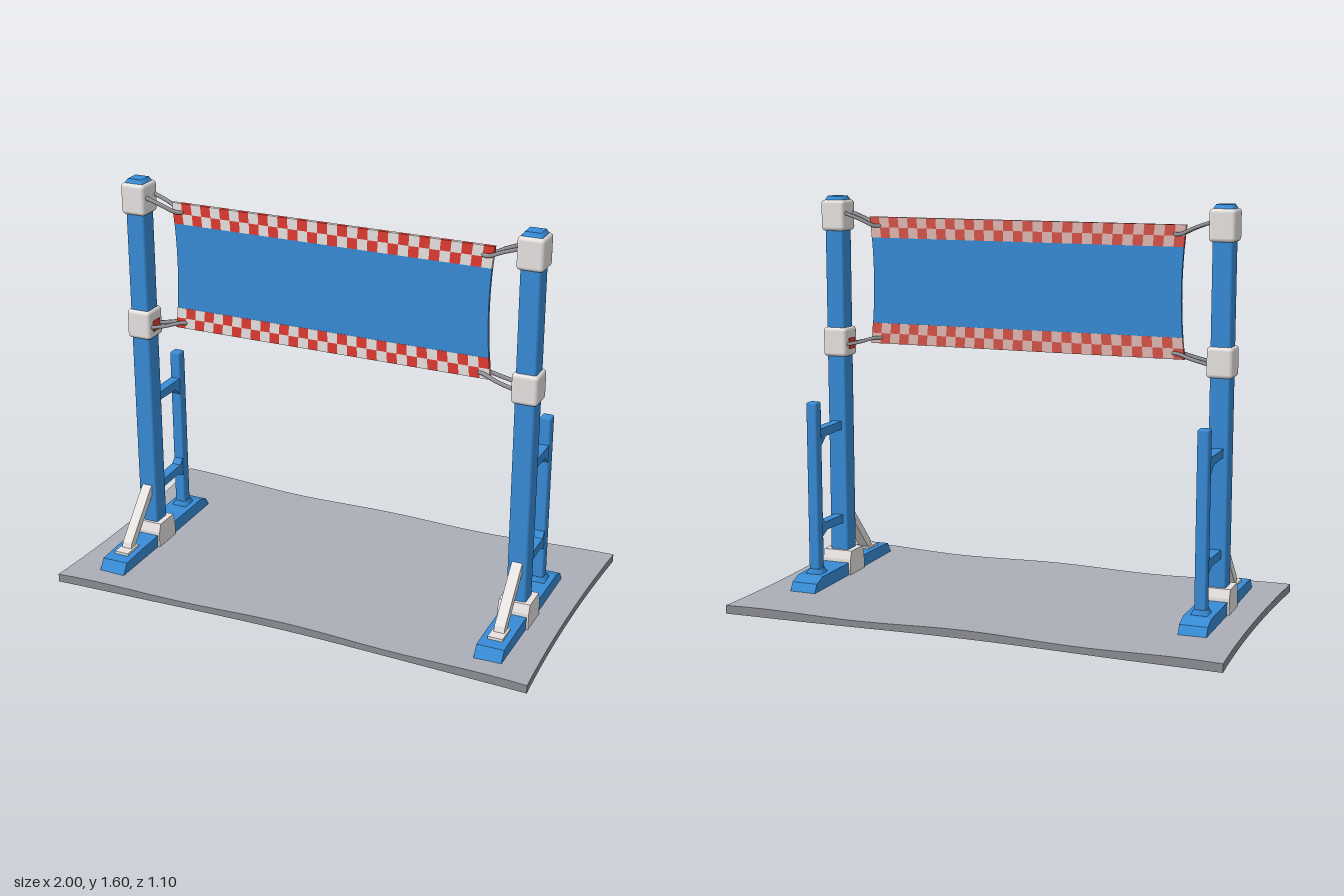
import * as THREE from 'three';
import { mergeGeometries, toCreasedNormals } from 'three/addons/utils/BufferGeometryUtils.js';
import { RoundedBoxGeometry } from 'three/addons/geometries/RoundedBoxGeometry.js';

const mat = (name, color) => {
  const m = new THREE.MeshStandardMaterial({ color });
  m.name = name;
  return m;
};

export function createModel() {
  const blue = mat('blue', 0x378bd6);
  const white = mat('off white', 0xe6e3e1);
  const red = mat('red', 0xe03a30);
  const fadedRed = mat('faded red', 0xd65248);
  const pink = mat('pale pink', 0xe0b9b3);
  const grey = mat('base grey', 0xabaeb7);
  const edgeGrey = mat('base edge grey', 0x8b8d93);
  const cord = mat('cord grey', 0x98959a);
  const root = new THREE.Group();
  root.name = 'bannerGate';

  const add = (parent, name, geo, material, x = 0, y = 0, z = 0) => {
    const m = new THREE.Mesh(geo, material);
    m.name = name;
    m.position.set(x, y, z);
    parent.add(m);
    return m;
  };
  const block = (w, h, d, r = 0.01) => new RoundedBoxGeometry(w, h, d, 2, r);
  // Side profile given as [z, y], extruded across x
  const sideProfile = (pts, width) => {
    const shape = new THREE.Shape(pts.map(([z, y]) => new THREE.Vector2(-z, y)));
    const g = new THREE.ExtrudeGeometry(shape, { depth: width, bevelEnabled: false });
    return g.translate(0, 0, -width / 2).rotateY(Math.PI / 2);
  };

  // Base mat, slightly waisted and uneven, with darker edges
  let base = new THREE.BoxGeometry(2, 0.03, 1.1, 24, 1, 12);
  const bp = base.attributes.position;
  for (let i = 0; i < bp.count; i++) {
    const x = bp.getX(i), y = bp.getY(i), z = bp.getZ(i);
    const v = z / 0.55;
    bp.setXYZ(i,
      x * (1 - 0.018 * (1 - v * v)),
      y + (y > 0 ? 0.005 * Math.cos(x * 7) * v * v : 0.002 * Math.cos(x * 5)),
      z * (1 - 0.055 * (1 - x * x)));
  }
  base = toCreasedNormals(base, 0.6);
  add(root, 'baseMat', base, [edgeGrey, edgeGrey, grey, grey, edgeGrey, edgeGrey], 0, 0.02, 0);

  // Posts with their feet, collars, braces and rear ladders
  const pz = 0.103;
  for (const side of [-1, 1]) {
    const g = new THREE.Group();
    g.name = side > 0 ? 'leftStand' : 'rightStand';
    g.position.x = side * 0.81;
    root.add(g);

    add(g, 'foot', sideProfile(
      [[0.45, 0.035], [0.42, 0.08], [0.3, 0.085], [-0.2, 0.088], [-0.25, 0.07], [-0.27, 0.035]], 0.11), blue);
    add(g, 'post', block(0.08, 1.55, 0.08, 0.01), blue, 0, 0.825, pz);
    add(g, 'postCap', new THREE.CylinderGeometry(0.042, 0.06, 0.022, 4).rotateY(Math.PI / 4), blue, 0, 1.597, pz);
    add(g, 'topCollar', block(0.104, 0.125, 0.108, 0.015), white, 0, 1.53, pz);
    add(g, 'middleCollar', block(0.104, 0.12, 0.106, 0.015), white, 0, 1.012, pz);
    add(g, 'collarPatch', new THREE.BoxGeometry(0.006, 0.045, 0.05), red, -side * 0.052, 1.005, pz);
    add(g, 'bottomCollar', sideProfile(
      [[0.17, 0.035], [0.168, 0.1], [0.155, 0.135], [0.05, 0.135], [0.038, 0.1], [0.036, 0.035]], 0.126), white);

    // Sloping front brace
    add(g, 'brace', sideProfile([[0.33, 0.085], [0.3, 0.085], [0.135, 0.265], [0.135, 0.305], [0.155, 0.292], [0.32, 0.115]], 0.042), white);
    add(g, 'braceFoot', new THREE.BoxGeometry(0.06, 0.014, 0.09), white, 0, 0.086, 0.325);

    // Rear upright and rungs, flared where they join
    add(g, 'rearUpright', block(0.046, 0.73, 0.047, 0.008), blue, 0, 0.43, -0.143);
    add(g, 'rearUprightFoot', new THREE.CylinderGeometry(0.034, 0.055, 0.035, 4).rotateY(Math.PI / 4), blue, 0, 0.09, -0.143);
    add(g, 'upperRung', sideProfile(
      [[0.08, 0.645], [0.03, 0.648], [-0.08, 0.645], [-0.122, 0.61], [-0.14, 0.61], [-0.14, 0.682], [0.08, 0.682]], 0.04), blue);
    add(g, 'lowerRung', sideProfile(
      [[0.08, 0.25], [-0.08, 0.255], [-0.122, 0.235], [-0.14, 0.235], [-0.14, 0.315], [-0.122, 0.315], [-0.1, 0.29], [0.08, 0.285]], 0.04), blue);
  }

  // Banner, pulled in along the free ends
  const halfW = 0.662, yLow = 1.012, yHigh = 1.527, rows = 0.084;
  const pinch = (geo) => {
    const p = geo.attributes.position;
    for (let i = 0; i < p.count; i++) {
      const v = (p.getY(i) - (yLow + yHigh) / 2) / ((yHigh - yLow) / 2);
      p.setX(i, p.getX(i) * (1 - 0.024 * (1 - v * v)));
    }
    geo.computeVertexNormals();
    return geo;
  };
  const banner = new THREE.Group();
  banner.name = 'banner';
  root.add(banner);
  const panelH = yHigh - yLow - 2 * rows;
  add(banner, 'bannerPanel', pinch(
    new THREE.BoxGeometry(halfW * 2, panelH, 0.014, 1, 10, 1).translate(0, (yLow + yHigh) / 2, 0.1)), blue);

  // Checked borders: crisp on the front, faded on the back
  const cols = 32, cw = halfW * 2 / cols, ch = rows / 2;
  const faces = [['Front', 0.104, red, white], ['Back', 0.096, fadedRed, pink]];
  for (const [edge, y0] of [['upper', yHigh - rows], ['lower', yLow]]) {
    for (const [face, z, dark, light] of faces) {
      const cells = [[], []];
      for (let r = 0; r < 2; r++) for (let c = 0; c < cols; c++) {
        cells[(r + c) % 2].push(new THREE.BoxGeometry(cw, ch, 0.008)
          .translate(-halfW + (c + 0.5) * cw, y0 + (r + 0.5) * ch, z));
      }
      add(banner, edge + face + 'DarkChecks', pinch(mergeGeometries(cells[0])), dark);
      add(banner, edge + face + 'LightChecks', pinch(mergeGeometries(cells[1])), light);
    }
  }

  // Paired cords from each collar to a banner corner, with an eyelet ring
  for (const side of [-1, 1]) {
    for (const [yPost, yBanner] of [[1.545, 1.492], [1.0, 1.035]]) {
      const yMid = yPost * 0.5 + yBanner * 0.5;
      const loop = new THREE.CatmullRomCurve3([
        [0.775, yPost, 0.068], [0.7, yMid, 0.073], [0.64, yBanner, 0.084],
        [0.612, yBanner, 0.1],
        [0.64, yBanner, 0.116], [0.7, yMid, 0.13], [0.775, yPost, 0.136],
      ].map(([x, y, z]) => new THREE.Vector3(x * side, y, z)));
      add(root, 'tieCord', new THREE.TubeGeometry(loop, 32, 0.008, 6), cord);
      add(root, 'eyelet', new THREE.TorusGeometry(0.016, 0.009, 6, 14), cord, side * 0.632, yBanner, 0.1);
    }
  }
  return root;
}
